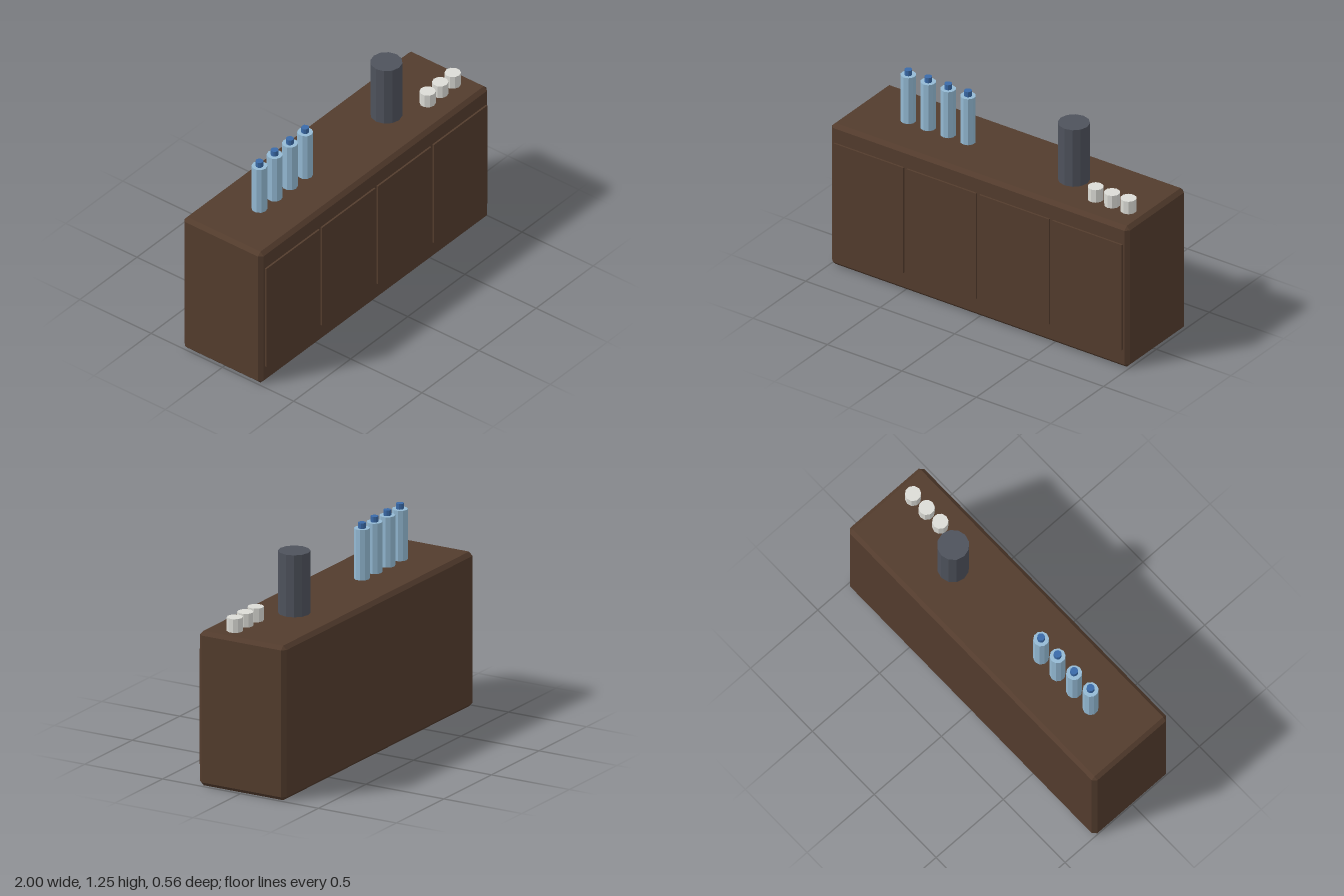
import * as THREE from 'three';
import { ConvexGeometry } from 'three/addons/geometries/ConvexGeometry.js';

const MID_Z = -0.005;
const TOP_Y = 0.89;

function material(name, color) {
  const m = new THREE.MeshStandardMaterial({ color, flatShading: true });
  m.name = name;
  return m;
}

// Box with every edge and corner chamfered
function chamferedBox(w, h, d, c) {
  const points = [];
  for (const sx of [-1, 1]) for (const sy of [-1, 1]) for (const sz of [-1, 1]) {
    const x = w / 2, y = h / 2, z = d / 2;
    points.push(
      new THREE.Vector3(sx * x, sy * (y - c), sz * (z - c)),
      new THREE.Vector3(sx * (x - c), sy * y, sz * (z - c)),
      new THREE.Vector3(sx * (x - c), sy * (y - c), sz * z)
    );
  }
  return new ConvexGeometry(points);
}

export function createModel() {
  const group = new THREE.Group();
  const wood = material('dark wood', 0x533c2d);
  const charcoal = material('charcoal', 0x4e525c);
  const glass = material('pale blue', 0x94bad4);
  const capBlue = material('cap blue', 0x3a6aa8);
  const china = material('off white', 0xdcdcd6);

  const add = (name, geometry, mat, x, y, z, parent = group) => {
    const mesh = new THREE.Mesh(geometry, mat);
    mesh.name = name;
    mesh.position.set(x, y, z);
    parent.add(mesh);
    return mesh;
  };
  // Upright cylinder placed by its base
  const upright = (name, r, h, sides, mat, x, y, z, parent) =>
    add(name, new THREE.CylinderGeometry(r, r, h, sides), mat, x, y + h / 2, z, parent);

  // Cabinet body
  add('cabinet', chamferedBox(2, TOP_Y, 0.554, 0.022), wood, 0, TOP_Y / 2, MID_Z);

  // Four front doors
  for (let i = 0; i < 4; i++) {
    add('door', new THREE.BoxGeometry(0.468, 0.665, 0.03), wood, (i - 1.5) * 0.489, 0.447, 0.268);
  }

  // Row of water bottles with caps
  for (let i = 0; i < 4; i++) {
    const bottle = new THREE.Group();
    bottle.name = 'bottle';
    bottle.position.set(-0.669 + i * 0.1335, TOP_Y, MID_Z);
    upright('bottleBody', 0.044, 0.29, 10, glass, 0, 0, 0, bottle);
    upright('bottleCap', 0.022, 0.032, 10, capBlue, 0, 0.29, 0, bottle);
    group.add(bottle);
  }

  // Tall urn
  upright('urn', 0.089, 0.357, 12, charcoal, 0.443, TOP_Y, MID_Z);

  // Row of cups
  for (let i = 0; i < 3; i++) {
    upright('cup', 0.045, 0.079, 10, china, 0.667 + i * 0.11, TOP_Y, 0.105);
  }

  return group;
}
